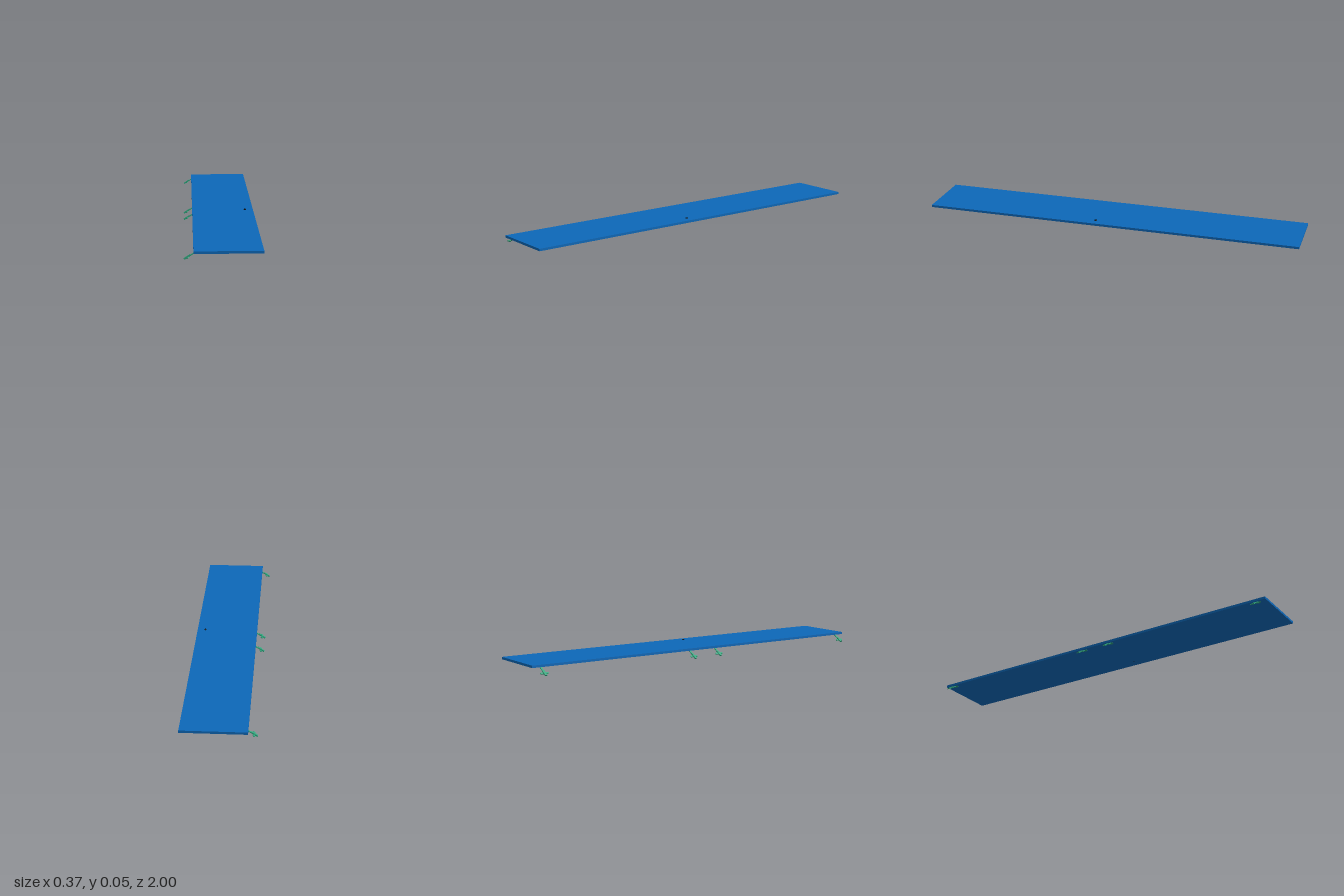
import * as THREE from 'three';

const paint = (color) => new THREE.MeshStandardMaterial({ color });

function box(name, w, h, d, x, y, z, material) {
  const mesh = new THREE.Mesh(new THREE.BoxGeometry(w, h, d), material);
  mesh.position.set(x, y, z);
  mesh.name = name;
  return mesh;
}

// Hinge: local +x runs up the sloping arm towards the panel
function createHinge(z, green) {
  const hinge = new THREE.Group();
  hinge.name = 'hinge';

  const arm = new THREE.Group();
  arm.name = 'hingeArm';
  arm.position.set(-0.154, 0.0215, 0);
  arm.rotation.z = 0.58;
  arm.add(box('armBar', 0.066, 0.004, 0.009, 0, -0.001, 0, green));
  arm.add(box('armCover', 0.036, 0.004, 0.011, -0.015, 0.002, 0, green));

  // Cross-shaped mounting plate with rounded ends
  arm.add(box('mountingPlate', 0.009, 0.004, 0.034, -0.014, -0.001, 0, green));
  for (const side of [-1, 1]) {
    const end = new THREE.Mesh(new THREE.CylinderGeometry(0.006, 0.006, 0.004, 16), green);
    end.name = 'plateEnd';
    end.position.set(-0.014, -0.001, side * 0.016);
    arm.add(end);
  }
  hinge.add(arm);

  // Cup set into the underside of the panel
  const cup = new THREE.Mesh(new THREE.CylinderGeometry(0.009, 0.009, 0.008, 20), green);
  cup.name = 'hingeCup';
  cup.position.set(-0.118, 0.042, 0);
  hinge.add(cup, box('cupFlange', 0.012, 0.002, 0.03, -0.122, 0.0385, 0, green));

  hinge.position.z = z;
  return hinge;
}

export function createModel() {
  const model = new THREE.Group();
  model.name = 'hingedPanel';
  const blue = paint(0x0d68b8);
  const green = paint(0x2fa57c);
  const black = paint(0x0a0a0a);

  // Long flat door panel
  model.add(box('panel', 0.322, 0.012, 2, 0.022, 0.045, 0, blue));

  // Four hinges along the left edge
  for (const z of [-0.948, -0.067, 0.096, 0.953]) model.add(createHinge(z, green));

  // Tapered pin through the panel: wide head, narrow tip
  const pinProfile = [[0, 0.035], [0.002, 0.037], [0.003, 0.043], [0.0065, 0.051], [0.0065, 0.0545], [0, 0.0545]]
    .map(([r, y]) => new THREE.Vector2(r, y));
  const pin = new THREE.Mesh(new THREE.LatheGeometry(pinProfile, 16), black);
  pin.name = 'pin';
  pin.position.set(0.141, 0, 0.079);
  model.add(pin);

  return model;
}
